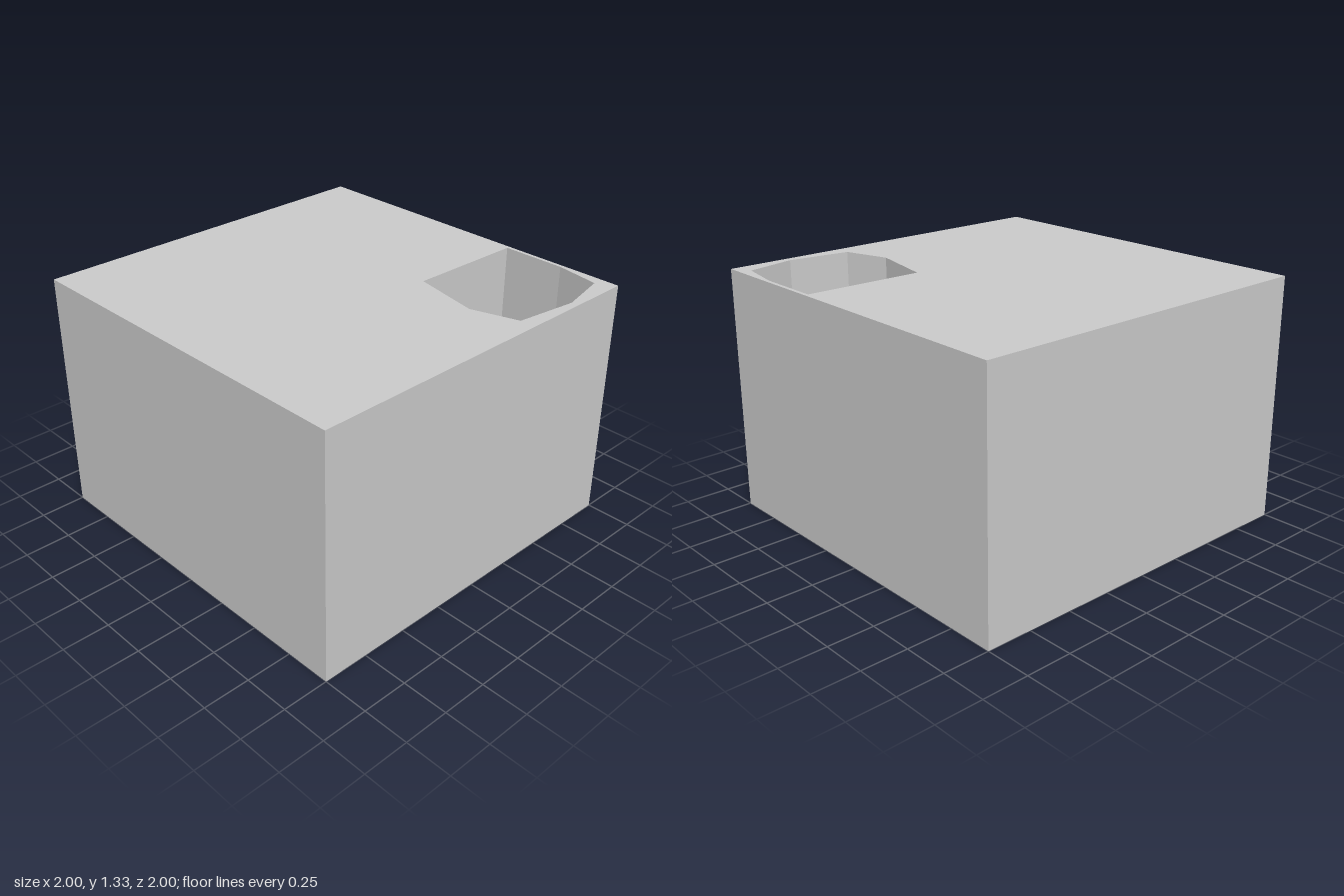
import * as THREE from 'three';
import { mergeGeometries } from 'three/addons/utils/BufferGeometryUtils.js';

const HEIGHT = 1.333;
const FLOOR = 0.333; // height of the pocket floor

// Pocket outline as [x, -z], clockwise from above
const OUTLINE = [
  [0.31, 0.98], [0.66, 0.98], [0.9, 0.94], [0.96, 0.67],
  [0.915, 0.335], [0.665, 0.258], [0.295, 0.335],
].map(([x, y]) => new THREE.Vector2(x, y));

// Flat horizontal face from a shape
function horizontalFace(shape, y) {
  return new THREE.ShapeGeometry(shape).rotateX(-Math.PI / 2).translate(0, y, 0).toNonIndexed();
}

// Box sides and bottom, without the top face
function outerShell() {
  const box = new THREE.BoxGeometry(2, HEIGHT, 2).translate(0, HEIGHT / 2, 0);
  const index = Array.from(box.index.array);
  index.splice(12, 6);
  box.setIndex(index);
  box.clearGroups();
  return box.toNonIndexed();
}

// Vertical pocket walls, facing inward
function pocketWalls() {
  const points = [];
  OUTLINE.forEach((a, i) => {
    const b = OUTLINE[(i + 1) % OUTLINE.length];
    const at = (p, y) => new THREE.Vector3(p.x, y, -p.y);
    const [ta, fa, fb, tb] = [at(a, HEIGHT), at(a, FLOOR), at(b, FLOOR), at(b, HEIGHT)];
    points.push(ta, fa, fb, ta, fb, tb);
  });
  const walls = new THREE.BufferGeometry().setFromPoints(points);
  walls.setAttribute('uv', new THREE.Float32BufferAttribute(new Float32Array(points.length * 2), 2));
  walls.computeVertexNormals();
  return walls;
}

export function createModel() {
  const group = new THREE.Group();
  group.name = 'pocketedBlock';

  // Top face with the pocket opening
  const top = new THREE.Shape([[-1, -1], [1, -1], [1, 1], [-1, 1]].map(([x, y]) => new THREE.Vector2(x, y)));
  top.holes.push(new THREE.Path(OUTLINE));

  const geometry = mergeGeometries([
    outerShell(),
    horizontalFace(top, HEIGHT),
    pocketWalls(),
    horizontalFace(new THREE.Shape(OUTLINE), FLOOR),
  ]);
  const block = new THREE.Mesh(geometry, new THREE.MeshStandardMaterial({ color: 0xcccccc, flatShading: true }));
  block.name = 'block';
  group.add(block);
  return group;
}
